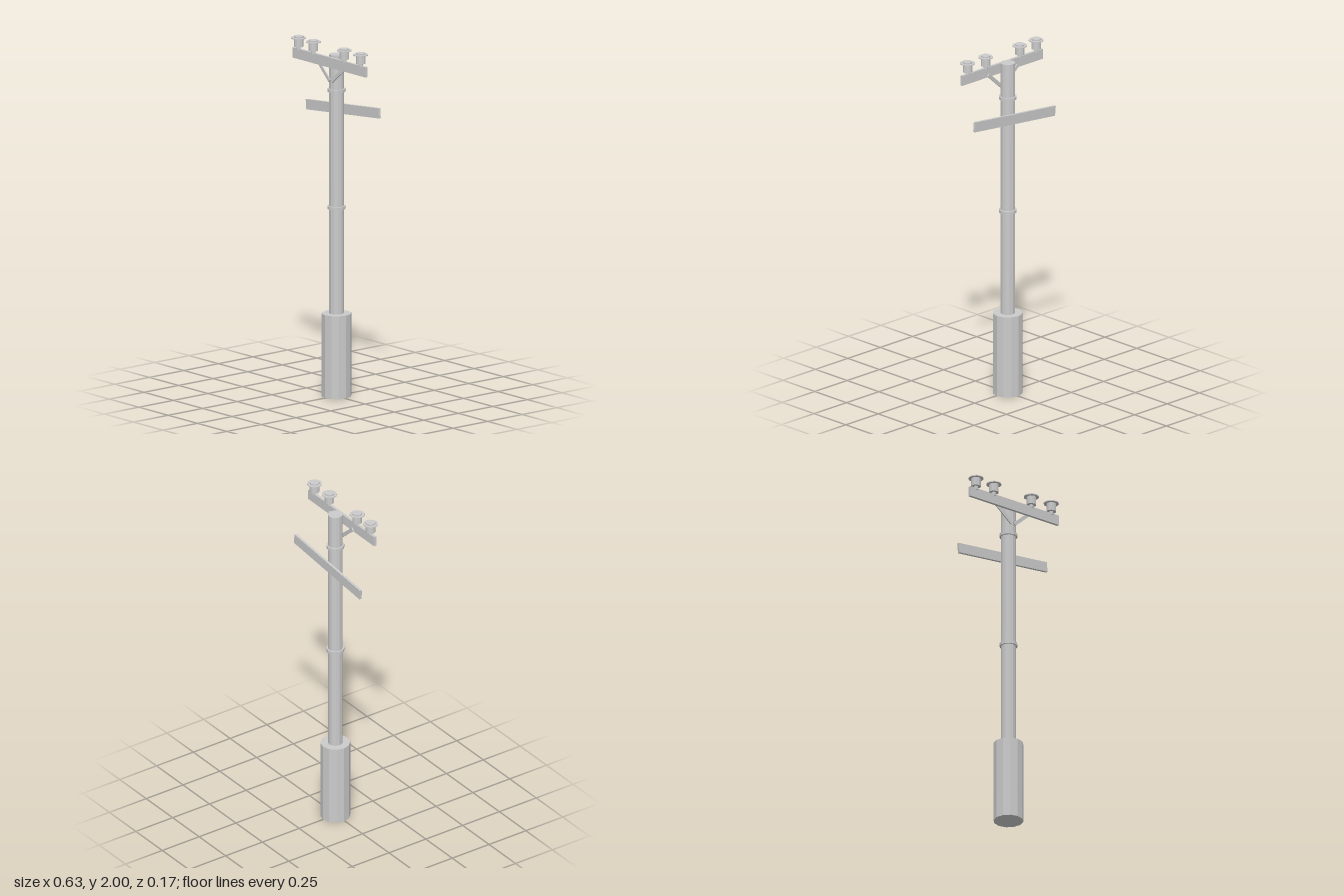
import * as THREE from 'three';

const material = new THREE.MeshStandardMaterial({ color: 0xcccccc, flatShading: true });
const SIDES = 12;

export function createModel() {
  const model = new THREE.Group();

  const add = (name, geometry, x, y, z, parent = model) => {
    const mesh = new THREE.Mesh(geometry, material);
    mesh.name = name;
    mesh.position.set(x, y, z);
    parent.add(mesh);
    return mesh;
  };
  // Upright cylinder between two heights
  const post = (name, radius, y0, y1, x, z, parent) =>
    add(name, new THREE.CylinderGeometry(radius, radius, y1 - y0, SIDES), x, (y0 + y1) / 2, z, parent);

  // Footing, pole and its two bands
  const poleZ = -0.005;
  post('footing', 0.083, 0, 0.47, 0, poleZ);
  post('pole', 0.041, 0.47, 1.938, 0, poleZ);
  for (const y of [1.07, 1.735]) post('poleBand', 0.05, y - 0.009, y + 0.009, 0, poleZ);

  // Level crossarm at the front, tilted board at the back
  add('crossarm', new THREE.BoxGeometry(0.622, 0.058, 0.015), 0, 1.899, 0.0425);
  const board = add('tiltedBoard', new THREE.BoxGeometry(0.622, 0.057, 0.014), -0.002, 1.62, -0.056);
  board.rotation.z = 0.098;

  // Flat braces from the pole up to the crossarm
  for (const side of [-1, 1]) {
    const low = new THREE.Vector3(side * 0.008, 1.791, 0.038);
    const high = new THREE.Vector3(side * 0.115, 1.885, 0.031);
    const along = high.clone().sub(low);
    const brace = add('brace', new THREE.BoxGeometry(along.length(), 0.02, 0.006), 0, 0, 0);
    brace.position.copy(low).lerp(high, 0.5);
    brace.quaternion.setFromUnitVectors(new THREE.Vector3(1, 0, 0), along.normalize());
    // Keep the flat face of the strap to the front
    if (side < 0) brace.quaternion.setFromUnitVectors(new THREE.Vector3(-1, 0, 0), along);
  }

  // Insulators: pin, body and thin brim
  for (const x of [-0.266, -0.14, 0.123, 0.263]) {
    const insulator = new THREE.Group();
    insulator.name = 'insulator';
    insulator.position.set(x, 0, 0.043);
    post('pin', 0.012, 1.92, 1.942, 0, 0, insulator);
    post('body', 0.027, 1.94, 2, 0, 0, insulator);
    post('brim', 0.042, 1.987, 1.992, 0, 0, insulator);
    model.add(insulator);
  }

  return model;
}
